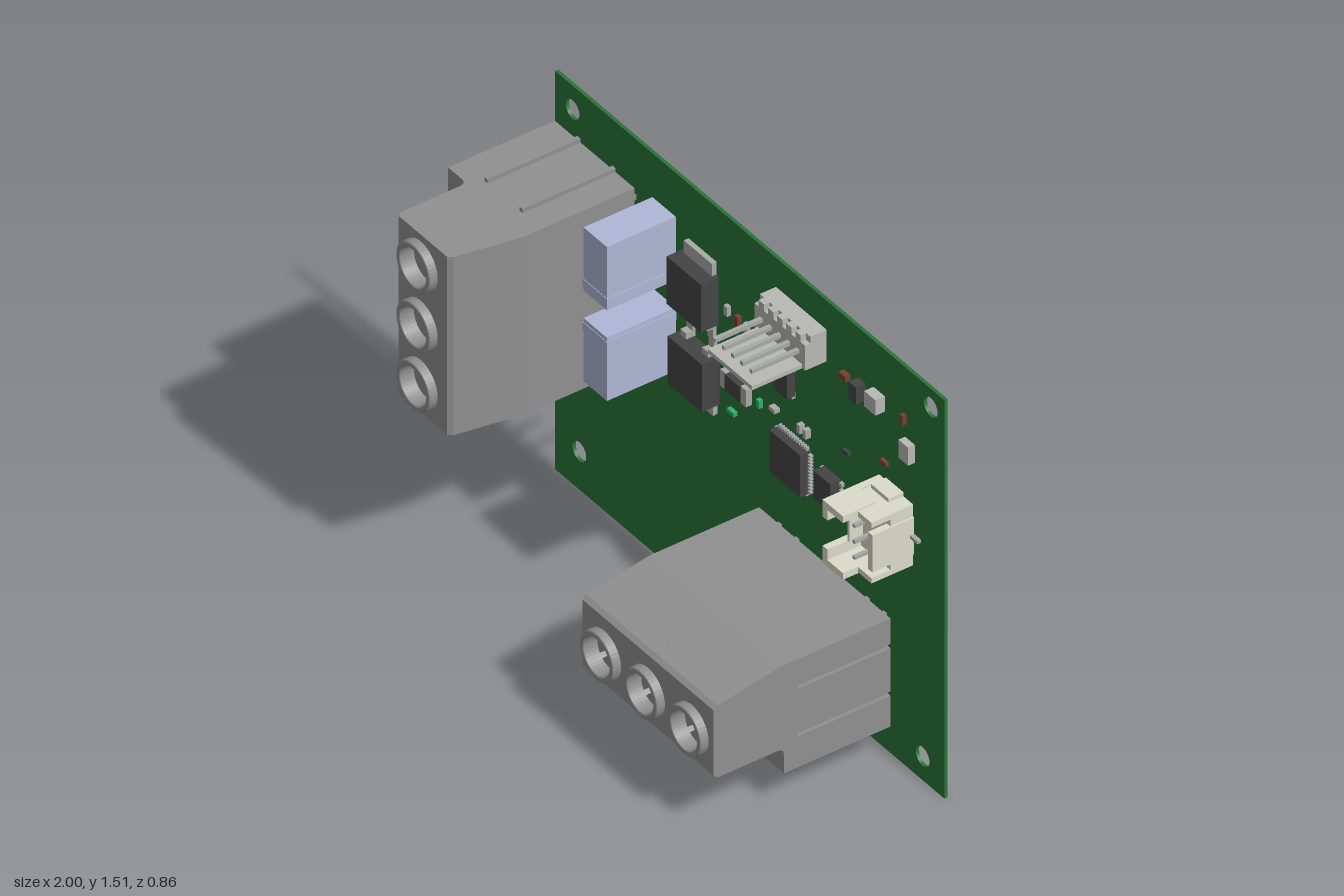
import * as THREE from 'three';

const mat = (color) => new THREE.MeshStandardMaterial({ color });
const M = {
  board: mat(0x2a7438), block: mat(0x909090), film: mat(0xb0b7d6), dark: mat(0x444444),
  metal: mat(0xa8aaa8), light: mat(0xb8b8b4), cream: mat(0xdcdccb), red: mat(0x7a4030),
  green: mat(0x30b070), blue: mat(0x3060a0), pin: mat(0x8f8f8f),
};
const BOARD = -0.285; // z of the board's front surface

function add(parent, name, geo, material, x = 0, y = 0, z = 0) {
  const m = new THREE.Mesh(geo, material);
  m.name = name;
  m.position.set(x, y, z);
  parent.add(m);
  return m;
}

// Box given by its minimum and maximum on each axis
function box(parent, name, material, x0, x1, y0, y1, z0, z1) {
  return add(parent, name, new THREE.BoxGeometry(x1 - x0, y1 - y0, z1 - z0), material,
    (x0 + x1) / 2, (y0 + y1) / 2, (z0 + z1) / 2);
}

function rectShape(x0, x1, y0, y1) {
  return new THREE.Shape([[x0, y0], [x1, y0], [x1, y1], [x0, y1]].map((p) => new THREE.Vector2(...p)));
}

function hole(shape, x, y, r) {
  shape.holes.push(new THREE.Path().absarc(x, y, r, 0, Math.PI * 2, true));
}

function makeBoard(g) {
  const s = rectShape(-1, 1, 0, 1.51);
  [[-0.91, 1.42], [0.93, 1.44], [-0.875, 0.145], [0.888, 0.09]].forEach(([x, y]) => hole(s, x, y, 0.035));
  const geo = new THREE.ExtrudeGeometry(s, { depth: 0.012, bevelEnabled: false, curveSegments: 20 });
  add(g, 'circuitBoard', geo, M.board, 0, 0, BOARD - 0.012);
}

// Side outline of the terminal block in (z, y); the notch is a wire entry, slots are side grooves
function blockProfile(notch, slots) {
  const s = new THREE.Shape();
  s.moveTo(-0.255, -0.205);
  if (notch) [[-0.21, -0.205], [-0.21, -0.03], [0.11, -0.03], [0.11, -0.205]].forEach((p) => s.lineTo(...p));
  s.lineTo(0.14, -0.205);
  s.lineTo(0.14, -0.135);
  s.quadraticCurveTo(0.14, -0.11, 0.165, -0.11);
  s.lineTo(0.34, -0.11);
  s.lineTo(0.34, 0.171);
  s.lineTo(0.15, 0.205);
  s.lineTo(-0.255, 0.205);
  if (slots) for (const y of [0.1, -0.08]) {
    [[-0.255, y + 0.008], [0.09, y + 0.008], [0.09, y - 0.008], [-0.255, y - 0.008]].forEach((p) => s.lineTo(...p));
  }
  return s;
}

function makeTerminalBlock() {
  const g = new THREE.Group();
  g.name = 'terminalBlock';
  const W = 0.3375;
  const slice = (name, x0, x1, notch, slots) => {
    const geo = new THREE.ExtrudeGeometry(blockProfile(notch, slots), { depth: x1 - x0, bevelEnabled: false, curveSegments: 5 });
    geo.rotateY(-Math.PI / 2); // outline x becomes z, depth runs along -x
    add(g, name, geo, M.block, x1);
  };

  // Solid walls alternate with the three hollow wire entries
  const cells = [-0.225, 0, 0.225], half = 0.1;
  slice('endWall', -W, cells[0] - half, false);
  slice('partition', cells[0] + half, cells[1] - half, false);
  slice('partition', cells[1] + half, cells[2] - half, false);
  slice('endWall', cells[2] + half, W - 0.0125, false);
  slice('groovedSide', W - 0.0125, W, false, true);
  const funnelMat = M.block.clone();
  funnelMat.side = THREE.DoubleSide;
  for (const x of cells) {
    slice('wireCell', x - half, x + half, true);
    const funnel = new THREE.CylinderGeometry(0.32, Math.SQRT1_2, 0.175, 4, 1, true);
    funnel.rotateY(Math.PI / 4);
    funnel.scale(half * 2, 1, 0.32);
    add(g, 'wireFunnel', funnel.toNonIndexed(), funnelMat, x, -0.1175, -0.05).geometry.computeVertexNormals();
  }

  // Front plate with screw wells: the top slopes and the front edges are eased
  const plate = rectShape(-W, W, -0.11, 0.16);
  cells.forEach((x) => hole(plate, x, 0.015, 0.066));
  const pg = new THREE.ExtrudeGeometry(plate, { depth: 0.06, steps: 4, bevelEnabled: false, curveSegments: 20 });
  const p = pg.attributes.position;
  for (let i = 0; i < p.count; i++) {
    const z = p.getZ(i), front = z > 0.059;
    if (p.getY(i) > 0.159) p.setY(i, 0.16 + (front ? -0.01 : (0.06 - z) * 0.18));
    if (p.getY(i) < -0.109 && front) p.setY(i, -0.098);
  }
  pg.computeVertexNormals();
  add(g, 'frontPlate', pg, M.block, 0, 0, 0.34);

  // Collars and slotted screws
  for (const x of cells) {
    const ring = new THREE.Shape().absarc(0, 0, 0.087, 0, Math.PI * 2);
    hole(ring, 0, 0, 0.066);
    add(g, 'screwCollar', new THREE.ExtrudeGeometry(ring,
      { depth: 0.025, bevelEnabled: true, bevelSize: 0.005, bevelOffset: -0.005, bevelThickness: 0.005, bevelSegments: 2, curveSegments: 20 }),
    M.block, x, 0.015, 0.4);
    const head = new THREE.Group();
    head.name = 'screwHead';
    head.position.set(x, 0.015, 0.35);
    head.rotation.z = Math.PI / 4;
    for (const side of [0, Math.PI]) {
      const a = Math.asin(0.009 / 0.062);
      const half = new THREE.Shape().absarc(0, 0, 0.062, a, Math.PI - a);
      const m = add(head, 'screwHalf', new THREE.ExtrudeGeometry(half, { depth: 0.03, bevelEnabled: false }), M.block);
      m.rotation.z = side;
    }
    g.add(head);
  }

  // Side ribs that mate with the grooves of a neighbour
  for (const y of [0.1, -0.08]) box(g, 'sideRib', M.block, -W - 0.015, -W, y - 0.008, y + 0.008, -0.255, 0.09);

  // Solder pins in pairs, the middle pair set lower
  cells.forEach((x, i) => [-0.0445, 0.0445].forEach((d) => {
    const y = i === 1 ? -0.06 : 0.165;
    box(g, 'solderPin', M.pin, x + d - 0.009, x + d + 0.009, y - 0.009, y + 0.009, -0.365, -0.25);
  }));
  return g;
}

function makeFilmCapacitor(g, y0, stripY) {
  box(g, 'filmCapacitor', M.film, -0.5, -0.38, y0, y0 + 0.24, BOARD, -0.03);
  box(g, 'capacitorStrip', M.film, -0.503, -0.377, y0 + stripY, y0 + stripY + 0.03, BOARD, -0.028);
  for (const dy of [0.066, 0.178]) box(g, 'capacitorLead', M.film, -0.446, -0.436, y0 + dy - 0.005, y0 + dy + 0.005, -0.43, BOARD);
}

// Power transistor; dir points towards its tab
function makeTransistor(g, x, y, dir) {
  const t = new THREE.Group();
  t.name = 'powerTransistor';
  t.position.set(x, y, BOARD);
  t.rotation.z = dir > 0 ? 0 : Math.PI;
  box(t, 'transistorBody', M.dark, -0.088, 0.088, -0.09, 0.09, 0.004, 0.07);
  box(t, 'transistorTab', M.metal, -0.072, 0.072, 0.05, 0.137, 0, 0.018);
  for (const lx of [-0.056, 0.056]) {
    box(t, 'transistorLeg', M.metal, lx - 0.015, lx + 0.015, -0.155, -0.1, 0, 0.012);
    box(t, 'transistorLeg', M.metal, lx - 0.015, lx + 0.015, -0.112, -0.085, 0, 0.035);
  }
  g.add(t);
}

// Flat chip with n legs on the left/right sides (nx) and on the top/bottom sides (ny)
function makeChip(g, x, y, w, h, t, nx, ny, pitch) {
  box(g, 'chipBody', M.dark, x - w / 2, x + w / 2, y - h / 2, y + h / 2, BOARD + 0.004, BOARD + t);
  const legs = (n, horizontal) => {
    for (let i = 0; i < n; i++) for (const s of [-1, 1]) {
      const o = (i - (n - 1) / 2) * pitch, r = pitch * 0.25;
      const cx = horizontal ? x + s * w / 2 : x + o, cy = horizontal ? y + o : y + s * h / 2;
      const a = horizontal ? 0.013 : r, b = horizontal ? r : 0.013;
      box(g, 'chipLeg', M.metal, cx - a, cx + a, cy - b, cy + b, BOARD, BOARD + 0.012);
    }
  };
  legs(nx, true);
  legs(ny, false);
}

function makePinHeader(g) {
  box(g, 'headerBase', M.light, 0.135, 0.395, 1.28, 1.375, BOARD, -0.205);
  box(g, 'headerBack', M.light, 0.135, 0.395, 1.36, 1.4, BOARD, -0.225);
  box(g, 'headerPlate', M.light, 0.152, 0.38, 1.28, 1.295, -0.21, -0.02);
  for (let i = 0; i < 5; i++) {
    const x = 0.171 + i * 0.047;
    box(g, 'headerPin', M.metal, x - 0.007, x + 0.007, 1.328, 1.342, -0.365, -0.03);
    box(g, 'headerBump', M.light, x - 0.014, x + 0.014, 1.365, 1.4, -0.23, -0.205);
  }
}

function makeSocket(g) {
  const c = (name, ...b) => box(g, name, M.cream, ...b);
  c('socketBase', 0.68, 0.84, 0.785, 1.015, BOARD, -0.2);
  for (const s of [-1, 1]) {
    const b = (name, x0, x1, d0, d1, z0, z1) => c(name, x0, x1, 0.9 + Math.min(s * d0, s * d1), 0.9 + Math.max(s * d0, s * d1), z0, z1);
    b('socketEndWall', 0.685, 0.77, 0.095, 0.12, -0.2, -0.075);
    b('socketEndWallLow', 0.77, 0.84, 0.095, 0.115, -0.2, -0.13);
    b('socketCorner', 0.665, 0.69, 0.055, 0.12, BOARD, -0.075);
    b('socketFoot', 0.7, 0.79, 0.11, 0.13, BOARD, -0.23);
    box(g, 'socketTab', M.metal, 0.652, 0.68, 0.9 + s * 0.07 - 0.006, 0.9 + s * 0.07 + 0.006, BOARD, BOARD + 0.015);
  }
  c('socketSideWall', 0.822, 0.845, 0.83, 0.97, BOARD, -0.13);
  c('socketInnerRib', 0.69, 0.7, 0.845, 0.955, -0.2, -0.15);
  for (const y of [0.84, 0.9, 0.96]) box(g, 'socketPin', M.metal, 0.757, 0.769, y - 0.006, y + 0.006, -0.2, -0.12);
  box(g, 'socketTail', M.metal, 0.84, 0.88, 0.895, 0.907, BOARD, BOARD + 0.015);
}

// Small parts: x, y, width, height, thickness, material
const SMALL = [
  [-0.105, 1.165, 0.018, 0.035, 0.015, 'metal'], [-0.05, 1.16, 0.018, 0.035, 0.015, 'red'],
  [-0.005, 1.16, 0.018, 0.035, 0.015, 'metal'], [-0.052, 1.09, 0.01, 0.02, 0.01, 'blue'],
  [0.06, 0.915, 0.015, 0.03, 0.015, 'green'], [-0.08, 0.795, 0.035, 0.015, 0.015, 'green'],
  [0.14, 0.945, 0.03, 0.015, 0.02, 'metal'], [0.275, 0.957, 0.016, 0.032, 0.02, 'metal'],
  [0.307, 0.957, 0.016, 0.032, 0.02, 'metal'], [0.5, 1.295, 0.035, 0.02, 0.02, 'red'],
  [0.575, 1.287, 0.038, 0.065, 0.035, 'dark'], [0.665, 1.305, 0.058, 0.058, 0.035, 'light'],
  [0.797, 1.315, 0.015, 0.035, 0.015, 'red'], [0.823, 1.212, 0.05, 0.068, 0.025, 'light'],
  [0.505, 1.007, 0.028, 0.014, 0.012, 'dark'], [0.7, 1.09, 0.03, 0.014, 0.012, 'red'],
  [0.565, 0.845, 0.026, 0.014, 0.012, 'dark'], [0.565, 0.812, 0.026, 0.014, 0.012, 'dark'],
];

export function createModel() {
  const g = new THREE.Group();
  g.name = 'relayBoard';
  makeBoard(g);

  // Two identical terminal blocks, one turned a quarter
  const lower = makeTerminalBlock();
  lower.position.set(0.4275, 0.345, 0);
  const side = makeTerminalBlock();
  side.position.set(-0.755, 1.0225, 0);
  side.rotation.z = -Math.PI / 2;
  g.add(lower, side);

  makeFilmCapacitor(g, 1.104, 0.015);
  makeFilmCapacitor(g, 0.76, 0.195);
  makeTransistor(g, -0.242, 1.167, 1);
  makeTransistor(g, -0.237, 0.868, -1);
  makeChip(g, 0.235, 0.81, 0.158, 0.158, 0.04, 12, 12, 0.0125);
  makeChip(g, 0.432, 0.83, 0.086, 0.105, 0.045, 4, 0, 0.026);
  makeChip(g, 0.208, 1.1, 0.062, 0.095, 0.035, 0, 4, 0.015);
  makePinHeader(g);
  makeSocket(g);

  // Shunt resistor with metal ends
  box(g, 'shuntResistor', M.dark, -0.095, -0.015, 0.877, 0.937, BOARD, BOARD + 0.025);
  for (const x of [-0.107, -0.003]) box(g, 'shuntEnd', M.metal, x - 0.014, x + 0.014, 0.875, 0.939, BOARD, BOARD + 0.022);

  for (const [x, y, w, h, t, m] of SMALL) box(g, 'smallPart', M[m], x - w / 2, x + w / 2, y - h / 2, y + h / 2, BOARD, BOARD + t);
  return g;
}
